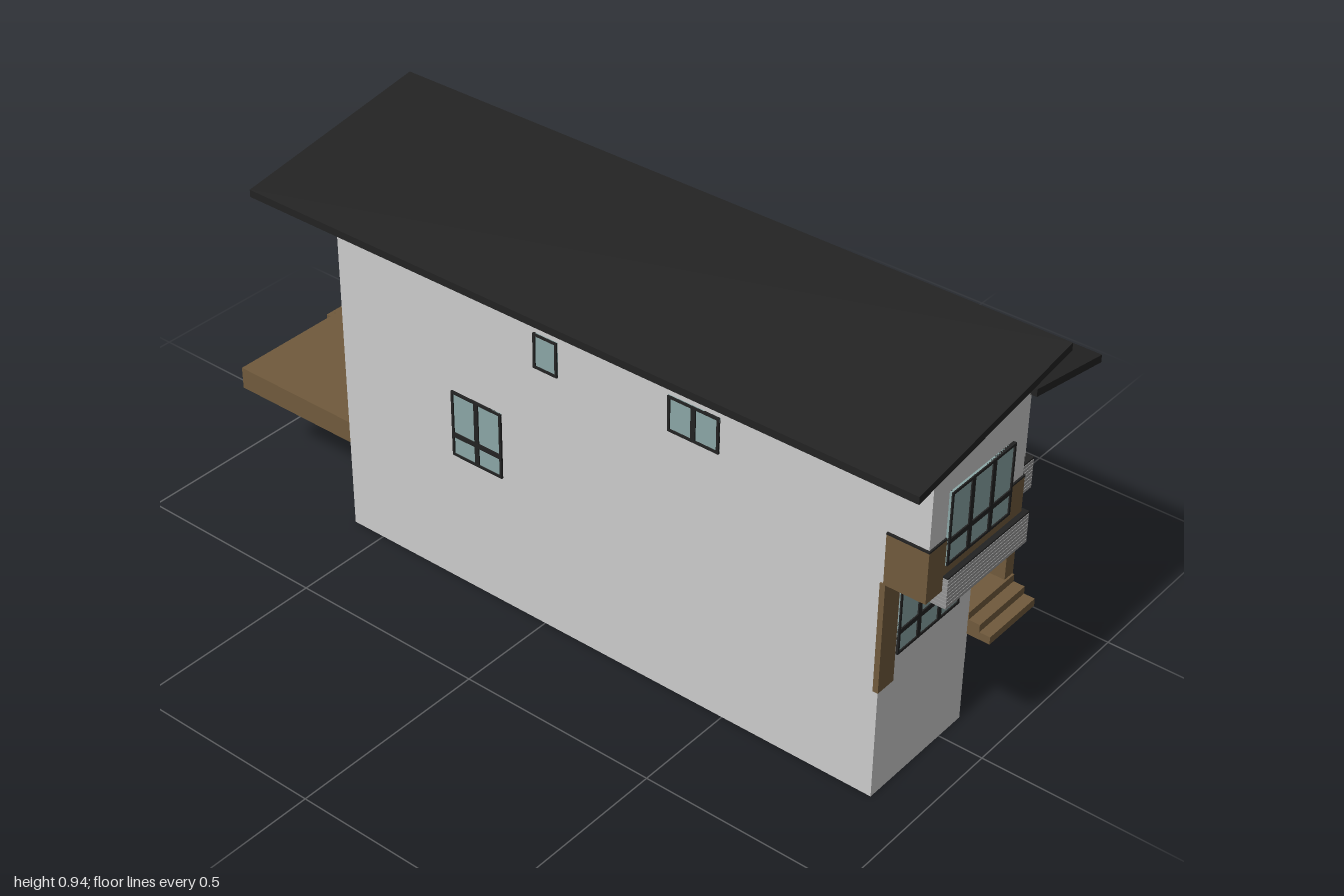
import * as THREE from 'three';

const mat = (color) => new THREE.MeshStandardMaterial({ color });
const GREY = mat(0xcccccc), BROWN = mat(0x705a3c), DARK = mat(0x222222);
const GLASS = mat(0x8aa6a5), METAL = mat(0x959595);

export function createModel() {
  const house = new THREE.Group();
  house.name = 'house';

  // Box given by its limits on each axis
  const box = (name, material, [x0, x1], [y0, y1], [z0, z1], parent = house) => {
    const m = new THREE.Mesh(new THREE.BoxGeometry(x1 - x0, y1 - y0, z1 - z0), material);
    m.position.set((x0 + x1) / 2, (y0 + y1) / 2, (z0 + z1) / 2);
    m.name = name;
    parent.add(m);
    return m;
  };

  // Side profile of [z, y] points, extruded along x
  const profile = (name, material, x0, x1, points) => {
    const shape = new THREE.Shape(points.map(([z, y]) => new THREE.Vector2(-z, y)));
    const g = new THREE.ExtrudeGeometry(shape, { depth: x1 - x0, bevelEnabled: false });
    g.rotateY(Math.PI / 2).translate(x0, 0, 0);
    const m = new THREE.Mesh(g, material);
    m.name = name;
    house.add(m);
  };

  // Walls, with tops following the roof slopes
  const frontTop = (z) => 0.892 - 0.165 * z;
  const rearTop = (z) => 0.889 + 0.175 * z;
  const frontSection = (y) => [[0.247, y], [0.247, frontTop(0.247)], [-0.078, frontTop(-0.078)], [-0.078, y]];
  const rearSection = (z0, z1, y) => [[z1, y], [z1, rearTop(z1)], [z0, rearTop(z0)], [z0, y]];
  profile('frontWing', GREY, -0.59, 0.89, frontSection(0));
  profile('frontUpperBay', GREY, 0.89, 0.985, frontSection(0.555));
  profile('rearWing', GREY, -0.765, 0.79, [
    [-0.05, 0], [-0.05, frontTop(-0.05)], [-0.078, frontTop(-0.078)],
    [-0.078, rearTop(-0.078)], [-0.247, rearTop(-0.247)], [-0.247, 0],
  ]);
  profile('roomOverEntry', GREY, 0.79, 0.89, rearSection(-0.247, -0.078, 0.53));
  profile('rearBay', GREY, 0.45, 0.755, rearSection(-0.285, -0.247, 0.28));

  // Two overlapping shed roofs
  const roof = (name, za, ya, zb, yb, t) =>
    profile(name, DARK, -0.78, 1, [[za, ya], [zb, yb], [zb, yb + t], [za, ya + t]]);
  roof('frontRoof', 0.32, 0.839, -0.195, 0.924, 0.018);
  roof('rearRoof', -0.075, 0.876, -0.318, 0.834, 0.018);

  // Brown cladding around the upper bay and the corner
  box('bayCladding', BROWN, [0.888, 0.988], [0.555, 0.678], [-0.081, 0.251]);
  box('bayCladdingCap', DARK, [0.888, 0.989], [0.678, 0.682], [-0.082, 0.252]);
  box('cornerCladding', BROWN, [0.88, 0.893], [0.28, 0.555], [0.197, 0.251]);

  // Ribbed canopy in two steps
  const canopy = (name, x0, x1, z0, z1) => {
    const group = new THREE.Group();
    group.name = name;
    box('canopyCore', METAL, [x0, x1 - 0.003], [0.515, 0.588], [z0 + 0.002, z1 - 0.002], group);
    for (let i = 0; i < 8; i++) {
      const y = 0.515 + i * 0.0091;
      box('canopyRib', METAL, [x0, x1], [y, y + 0.0075], [z0, z1], group);
    }
    box('canopyCap', DARK, [x0, x1], [0.588, 0.592], [z0, z1], group);
    house.add(group);
  };
  canopy('frontCanopy', 0.885, 1, -0.092, 0.195);
  canopy('entryCanopy', 0.785, 0.905, -0.257, -0.088);

  // Entry porch: landing, steps and side screen
  const porchZ = [-0.247, -0.077];
  box('porchLanding', BROWN, [0.785, 0.892], [0.23, 0.287], porchZ);
  box('porchUpperStep', BROWN, [0.892, 0.92], [0.23, 0.268], porchZ);
  box('porchLowerStep', BROWN, [0.92, 0.947], [0.23, 0.249], porchZ);
  box('porchScreen', BROWN, [0.785, 0.887], [0.28, 0.52], [-0.249, -0.217]);

  // Rear deck and its steps
  box('deck', BROWN, [-0.945, -0.59], [0.225, 0.281], [-0.05, 0.245]);
  box('deckEnd', BROWN, [-0.945, -0.76], [0.225, 0.281], [-0.248, -0.05]);
  box('deckUpperStep', BROWN, [-0.972, -0.945], [0.225, 0.262], [-0.195, -0.09]);
  box('deckLowerStep', BROWN, [-1, -0.972], [0.225, 0.244], [-0.195, -0.09]);

  // Place a wall-mounted group: local +z points out of the wall
  const TURN = { front: 0, back: Math.PI, right: Math.PI / 2, left: -Math.PI / 2 };
  const mount = (name, side, x, y, z) => {
    const group = new THREE.Group();
    group.name = name;
    group.position.set(x, y, z);
    group.rotation.y = TURN[side];
    house.add(group);
    return group;
  };

  // Window with frame, mullions and optional low transom
  const addWindow = (name, side, x, y, z, w, h, cols = 1, transom = false, bar = 0.006) => {
    const g = mount(name, side, x, y, z);
    const a = w / 2, b = h / 2, d = [-0.01, 0.005];
    box('glass', GLASS, [-a, a], [-b, b], [-0.01, 0.002], g);
    for (const s of [-1, 1]) {
      const u = s * (a - bar / 2), v = s * (b - bar / 2);
      box('frameSide', DARK, [u - bar / 2, u + bar / 2], [-b, b], d, g);
      box('frameRail', DARK, [-a, a], [v - bar / 2, v + bar / 2], d, g);
    }
    for (let i = 1; i < cols; i++) {
      const u = -a + (w * i) / cols;
      box('mullion', DARK, [u - bar, u + bar], [-b, b], d, g);
    }
    if (transom) {
      const v = -b + h * 0.33;
      box('transom', DARK, [-a, a], [v - bar, v + bar], d, g);
    }
  };
  addWindow('upperBayWindow', 'right', 0.988, 0.703, 0.081, 0.22, 0.175, 3, true);
  addWindow('lowerEndWindow', 'right', 0.89, 0.429, 0.081, 0.22, 0.172, 3, true);
  addWindow('frontLargeWindow', 'front', -0.188, 0.43, 0.247, 0.145, 0.17, 2, true);
  addWindow('frontSmallWindow', 'front', 0.015, 0.722, 0.247, 0.066, 0.087);
  addWindow('frontDoubleWindow', 'front', 0.41, 0.722, 0.247, 0.132, 0.087, 2);
  addWindow('recessWindow', 'front', -0.647, 0.453, -0.05, 0.064, 0.087);
  addWindow('backLargeWindow', 'back', -0.19, 0.43, -0.247, 0.145, 0.17, 2, true);
  for (const x of [0.305, 0.163]) addWindow('backSmallWindow', 'back', x, 0.722, -0.247, 0.066, 0.087);
  addWindow('rearBayWindow', 'back', 0.553, 0.453, -0.285, 0.066, 0.087);
  addWindow('leftEndWindow', 'left', -0.765, 0.722, -0.155, 0.07, 0.087);

  // Doors with a narrow glass strip and a sill
  const addDoor = (name, side, x, y, z) => {
    const g = mount(name, side, x, y, z);
    box('doorLeaf', DARK, [-0.047, 0.047], [0, 0.21], [-0.01, 0.005], g);
    box('doorGlass', GLASS, [0.004, 0.028], [0.024, 0.192], [-0.01, 0.007], g);
    box('doorSill', DARK, [-0.053, 0.053], [0, 0.007], [-0.01, 0.012], g);
  };
  addDoor('entryDoor', 'right', 0.79, 0.286, -0.138);
  addDoor('deckDoor', 'left', -0.765, 0.281, -0.142);

  return house;
}
